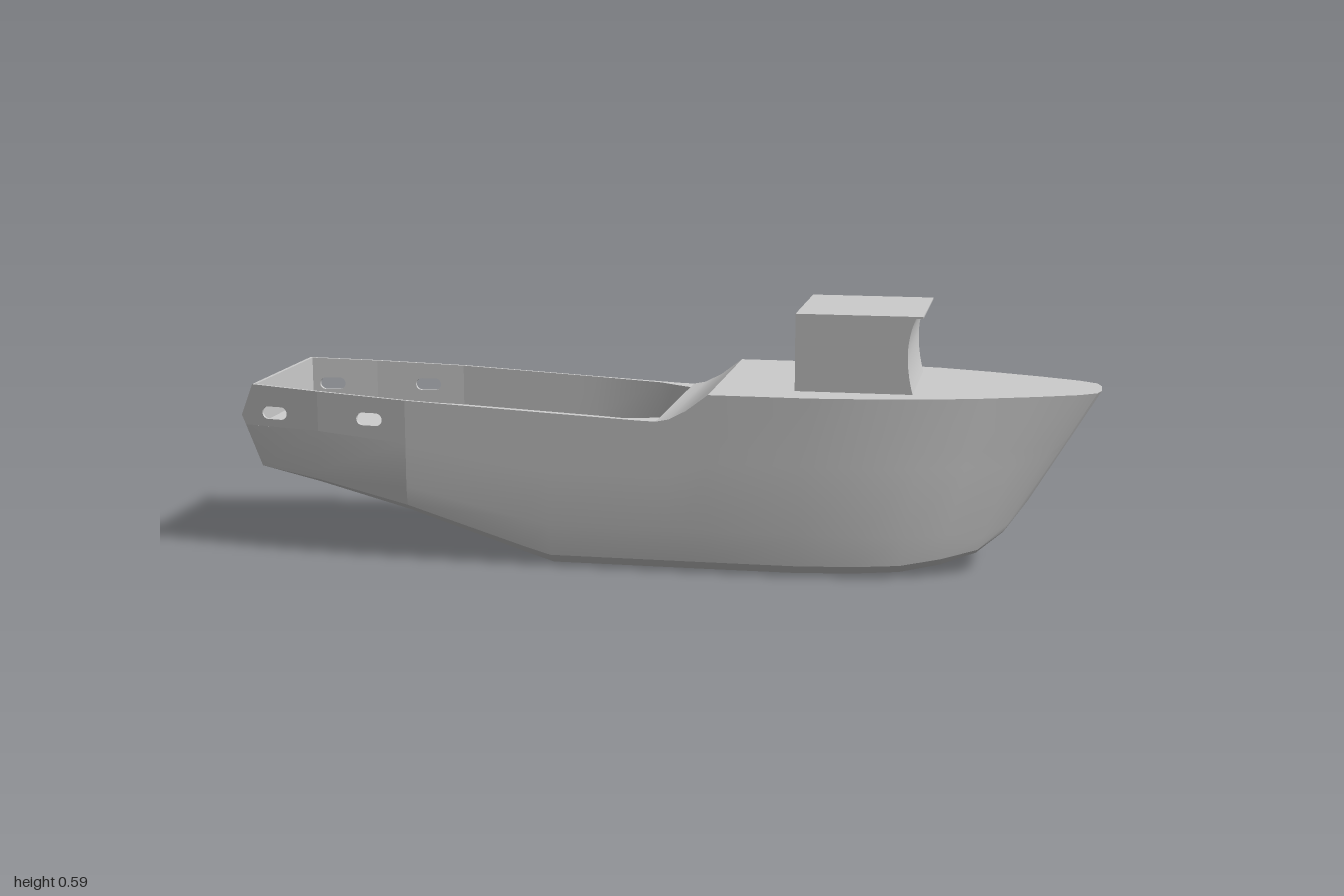
import * as THREE from 'three';
import { toCreasedNormals } from 'three/addons/utils/BufferGeometryUtils.js';

const WALL = 0.008;       // bulwark thickness
const WELL_END = 7;       // station at the forward end of the sunken deck
const PANELS = 2;         // aft intervals whose bulwarks have openings

// Stations, stern to bow: deck edge x, y, half-width; keel edge x, y, half-width; bilge fullness
const STATIONS = [
  [-0.97, 0.395, 0.2, -0.95, 0.2, 0.2, 0],
  [-0.8, 0.388, 0.227, -0.8, 0.17, 0.2135, 0.3],
  [-0.58, 0.378, 0.25, -0.58, 0.115, 0.223, 0.6],
  [-0.3, 0.364, 0.25, -0.3, 0.02, 0.21, 0.9],
  [-0.24, 0.361, 0.25, -0.24, 0, 0.205, 1],
  [-0.07, 0.353, 0.25, -0.07, 0, 0.205, 1],
  [-0.03, 0.351, 0.25, -0.03, 0, 0.205, 1],
  [0.01, 0.35, 0.25, 0.01, 0, 0.205, 1],
  [0.04, 0.356, 0.25, 0.04, 0, 0.205, 1],
  [0.08, 0.377, 0.25, 0.07, 0, 0.205, 1],
  [0.13, 0.415, 0.25, 0.13, 0, 0.205, 1],
  [0.36, 0.415, 0.25, 0.33, 0, 0.203, 1],
  [0.5, 0.415, 0.235, 0.46, 0.002, 0.19, 0.95],
  [0.62, 0.415, 0.215, 0.56, 0.006, 0.173, 0.9],
  [0.74, 0.415, 0.18, 0.65, 0.02, 0.142, 0.8],
  [0.86, 0.415, 0.135, 0.73, 0.045, 0.115, 0.4],
  [0.95, 0.415, 0.095, 0.79, 0.09, 0.085, 0.2],
  [0.99, 0.415, 0.065, 0.835, 0.15, 0.065, 0],
  [1.0, 0.415, 0.03, 0.842, 0.153, 0.03, 0],
];

// One half-section: deck edge, knuckle, well level, bilge, chine, keel edge
const sections = STATIONS.map(([dx, dy, dz, kx, ky, kz, b]) => {
  const deck = new THREE.Vector3(dx, dy, dz);
  const low = (rise, spread) => {
    const t = (rise * b) / (dy - ky);
    return new THREE.Vector3(kx + (dx - kx) * t, ky + rise * b, kz + spread * b);
  };
  const bilge = low(0.1, 0.045);
  return [deck, deck.clone().lerp(bilge, 0.385), deck.clone().lerp(bilge, 0.5),
    bilge, low(0.025, 0.035), low(0, 0)];
});
// The transom bulges aft at its knuckle
Object.assign(sections[0][1], { x: -1, z: 0.195 });
Object.assign(sections[0][2], { x: -0.99, z: 0.197 });

const port = (p) => new THREE.Vector3(p.x, p.y, -p.z);
const across = (p) => [port(p), p];
const floorY = (x) => 0.25 - 0.047 * (x - 0.01) / 0.98;

// Surface through rows of points
function grid(rows) {
  const pos = [], idx = [], n = rows[0].length;
  rows.forEach((r) => r.forEach((p) => pos.push(p.x, p.y, p.z)));
  for (let i = 0; i < rows.length - 1; i++) {
    for (let j = 0; j < n - 1; j++) {
      const a = i * n + j, c = a + n;
      idx.push(a, a + 1, c, a + 1, c + 1, c);
    }
  }
  const g = new THREE.BufferGeometry();
  g.setAttribute('position', new THREE.Float32BufferAttribute(pos, 3));
  g.setIndex(idx);
  return toCreasedNormals(g, 0.45);
}

// Inner edge of the bulwark at a station, at rim and floor level
function inner(i) {
  const d = sections[i][0];
  const x = i === 0 ? d.x + WALL : d.x;
  const z = { 5: 0.235, 6: 0.218, 7: 0.2 }[i] ?? d.z - WALL;
  return { rim: new THREE.Vector3(x, d.y, z), floor: new THREE.Vector3(x, floorY(x), z) };
}

// Planar bulwark panel with an oval opening; side is +1 or -1
function bulwarkPanel(i, side, cx) {
  const A = sections[i], B = sections[i + 1];
  const outline = [A[0], A[1], A[2], B[2], B[1], B[0]];
  const shape = new THREE.Shape(outline.map((p) => new THREE.Vector2(p.x, p.y)));
  const hole = new THREE.Path(), w = 0.017, r = 0.015, y = 0.329;
  hole.absarc(cx + w, y, r, -Math.PI / 2, Math.PI / 2, false);
  hole.absarc(cx - w, y, r, Math.PI / 2, Math.PI * 1.5, false);
  shape.holes.push(hole);
  const g = new THREE.ExtrudeGeometry(shape, { depth: WALL, bevelEnabled: false, curveSegments: 8 });
  const p = g.attributes.position;
  for (let k = 0; k < p.count; k++) {
    const t = (p.getX(k) - A[0].x) / (B[0].x - A[0].x);
    const beam = A[0].z + (B[0].z - A[0].z) * t;
    p.setZ(k, side > 0 ? beam - WALL + p.getZ(k) : p.getZ(k) - beam);
  }
  g.computeVertexNormals();
  return g;
}

export function createModel() {
  const group = new THREE.Group();
  const material = new THREE.MeshStandardMaterial({ color: 0xcccccc, side: THREE.DoubleSide });
  const add = (name, geometry) => {
    const mesh = new THREE.Mesh(geometry, material);
    mesh.name = name;
    group.add(mesh);
  };

  // Hull shell: full sections forward, only below the bulwark panels aft
  const loop = (s) => [...s, ...s.map(port).reverse()];
  add('hull', grid(sections.slice(PANELS).map(loop)));
  add('sternHull', grid(sections.slice(0, PANELS + 1).map((s) => loop(s.slice(2)))));

  // Transom and stem faces
  const stern = sections[0], bow = sections[sections.length - 1];
  add('transom', grid([3, 2, 1, 0].map((k) => across(stern[k]))));
  add('stem', grid([0, 1, 2, 3].map((k) => across(bow[k]))));

  // Bulwark panels with fairlead openings
  [-0.913, -0.67].forEach((cx, i) => {
    for (const side of [1, -1]) {
      add(side > 0 ? 'leftFairleadBulwark' : 'rightFairleadBulwark', bulwarkPanel(i, side, cx));
    }
  });

  // Sunken working deck: rim, inner walls and floor
  const wells = [];
  for (let i = 0; i <= WELL_END; i++) wells.push(inner(i));
  add('workingDeckAft', grid(wells.slice(0, PANELS + 1).map((w) => across(w.floor))));
  add('workingDeck', grid(wells.slice(PANELS).map((w, i) => {
    const half = [w.floor, w.rim, sections[i + PANELS][0]];
    return [...half.map(port).reverse(), ...half];
  })));
  const first = wells[0], last = wells[WELL_END];
  add('wellFrontWall', grid([across(last.floor), across(last.rim)]));
  add('transomInnerWall', grid([across(first.rim), across(first.floor)]));
  add('transomRail', grid([across(stern[0]), across(first.rim)]));

  // Raised foredeck with its ramp
  add('foredeck', grid(sections.slice(WELL_END).map((s) => across(s[0]))));

  // Wheelhouse with a hollow-curved front
  const profile = new THREE.Shape();
  profile.moveTo(0.315, 0.41);
  profile.lineTo(0.583, 0.41);
  profile.quadraticCurveTo(0.568, 0.46, 0.569, 0.515);
  profile.quadraticCurveTo(0.573, 0.56, 0.586, 0.587);
  profile.lineTo(0.602, 0.588);
  profile.lineTo(0.602, 0.592);
  profile.lineTo(0.315, 0.592);
  const house = new THREE.ExtrudeGeometry(profile, { depth: 0.326, bevelEnabled: false, curveSegments: 5 });
  house.translate(0, 0, -0.163);
  add('wheelhouse', toCreasedNormals(house, 0.45));

  return group;
}
